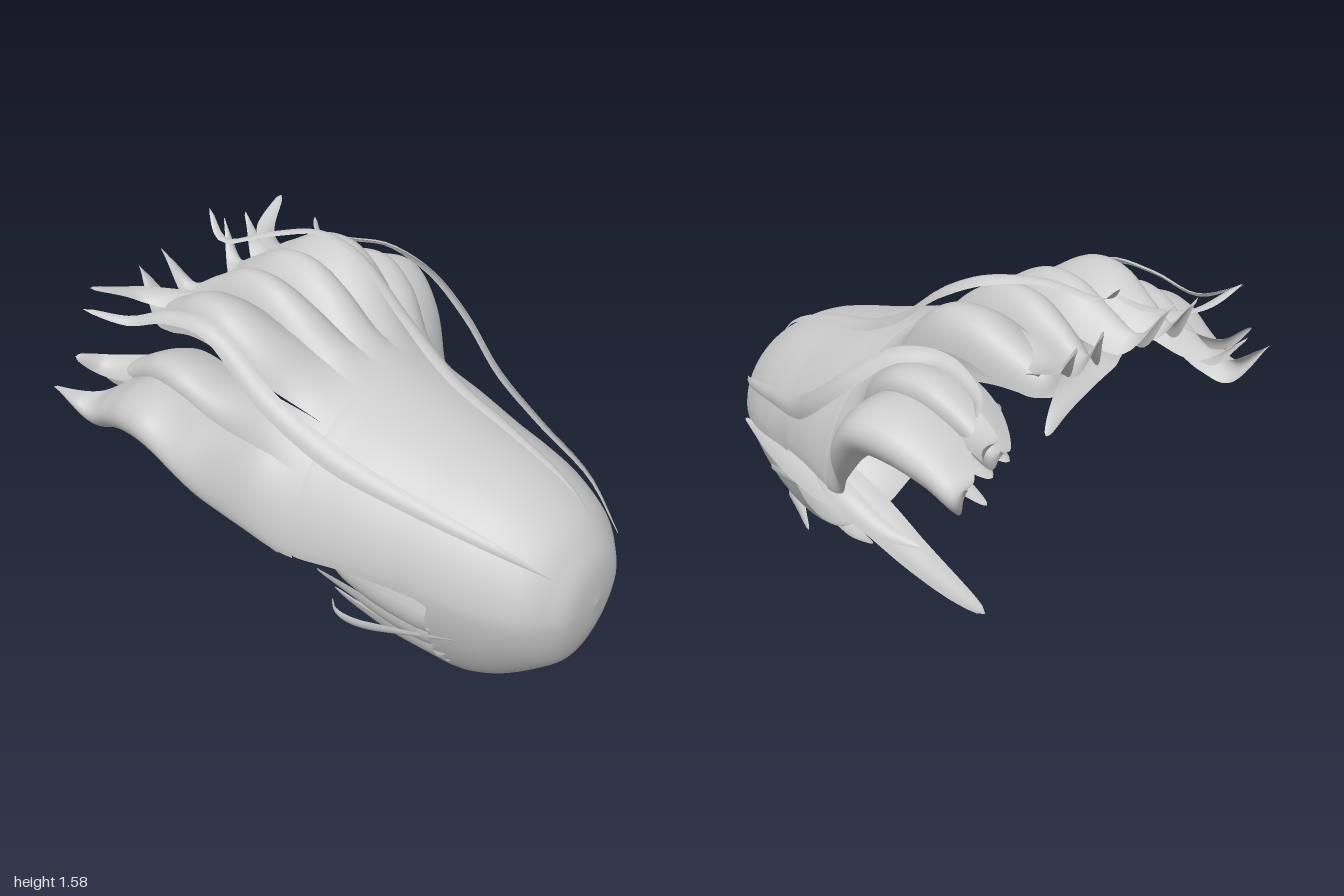
import * as THREE from 'three';

const V = (x, y, z) => new THREE.Vector3(x, y, z);
const material = new THREE.MeshStandardMaterial({ color: 0xcccccc, side: THREE.DoubleSide });
const { smoothstep, lerp } = THREE.MathUtils;

// Grid surface from a rule f(s, t) -> Vector3, with s across and t along
function sheet(name, f, cols, rows) {
  const pos = [], idx = [];
  for (let j = 0; j <= rows; j++)
    for (let i = 0; i <= cols; i++) pos.push(...f(i / cols, j / rows).toArray());
  for (let j = 0; j < rows; j++)
    for (let i = 0; i < cols; i++) {
      const a = j * (cols + 1) + i, b = a + cols + 1;
      idx.push(a, a + 1, b, a + 1, b + 1, b);
    }
  const g = new THREE.BufferGeometry();
  g.setAttribute('position', new THREE.Float32BufferAttribute(pos, 3));
  g.setIndex(idx);
  g.computeVertexNormals();
  const mesh = new THREE.Mesh(g, material);
  mesh.name = name;
  return mesh;
}

// Cross-sections front to back: z, half width, top y, middle y, bottom y
const stations = [
  [1.0, 0.001, 0.551, 0.55, 0.549], [0.98, 0.16, 0.70, 0.55, 0.40], [0.93, 0.25, 0.80, 0.56, 0.27],
  [0.85, 0.33, 0.89, 0.57, 0.19], [0.70, 0.40, 0.98, 0.59, 0.08], [0.55, 0.44, 1.03, 0.61, 0.02],
  [0.40, 0.47, 1.07, 0.63, 0.04], [0.20, 0.52, 1.13, 0.65, 0.10], [0.00, 0.57, 1.19, 0.65, 0.2],
  [-0.15, 0.64, 1.27, 0.72, 0.3], [-0.30, 0.77, 1.38, 0.90, 0.5], [-0.45, 0.82, 1.45, 1.06, 0.7],
  [-0.60, 0.80, 1.45, 1.07, 0.7], [-0.75, 0.76, 1.38, 1.01, 0.7], [-0.88, 0.76, 1.33, 0.95, 0.7],
  [-0.98, 0.82, 1.44, 1.04, 0.8],
];
const LAST = stations.length - 1, SPLIT = 8;
const curveA = new THREE.CatmullRomCurve3(stations.map(s => V(s[0], s[1], s[2])), false, 'catmullrom');
const curveB = new THREE.CatmullRomCurve3(stations.map(s => V(s[0], s[3], s[4])), false, 'catmullrom');

// Point on the swept-back body at station k, angle a from the top, pushed out by d
function bodyPoint(k, a, d = 0) {
  const A = curveA.getPoint(k / LAST), B = curveB.getPoint(k / LAST);
  const c = Math.cos(a);
  const h = c > 0 ? A.z - B.y : B.y - B.z;
  const narrow = 1 - 0.15 * Math.max(0, -c);
  return V((A.y + d) * narrow * Math.sin(a), B.y + (h + d) * c, A.x);
}

// Closed round front, opening underneath; the last rows tuck below the locks
function cap() {
  return sheet('cap', (s, t) => {
    const k = t * (SPLIT + 0.3);
    const z = curveA.getPoint(k / LAST).x;
    const reach = lerp(1.6, Math.PI, smoothstep(z, 0.37, 0.53));
    return bodyPoint(k, (s * 2 - 1) * reach, -0.012 * smoothstep(k, SPLIT - 0.1, SPLIT + 0.2));
  }, 64, 72);
}

// Wide lock continuing the cap: bulges, narrows and flicks up to a point
function lock(name, side, a0, a1, tip, lift, drop) {
  return sheet(name, (s, t) => {
    const k = lerp(SPLIT, LAST, t);
    const grow = smoothstep(t, 0, 0.45);
    const taper = 1 - Math.pow(smoothstep(t, 0.5, 1.15) / smoothstep(1, 0.5, 1.15), 1.5);
    const mid = lerp(0.5, tip, 1 - taper);
    const u = mid + (s - 0.5) * taper * (1 + 0.16 * grow);
    const a = lerp(a0, a1, u);
    const d = grow * (Math.sin(Math.PI * s) * 0.12 - 0.085) * Math.max(taper, 0.15);
    const p = bodyPoint(k, a * side, d);
    p.y += lift * smoothstep(t, 0.8, 1) - drop * grow;
    return p;
  }, 14, 44);
}

// Thin tapered strand along a path, arched across its width; facing can be set
function strand(name, points, width, { side = 1, root = 0.05, facing = null } = {}) {
  const path = new THREE.CatmullRomCurve3(points.map(p => V(p[0] * side, p[1], p[2])));
  return sheet(name, (s, t) => {
    const p = path.getPoint(t);
    const tan = path.getTangent(t);
    const out = facing ? V(...facing).normalize() : V(p.x, p.y - 0.65, 0.0001).normalize();
    const across = out.cross(tan).normalize();
    const up = tan.clone().cross(across);
    const w = width * Math.min(1, root + t * 2.5) * Math.pow(1 - t, 0.5);
    const q = s * 2 - 1;
    return p.addScaledVector(across, -q * w * 0.5).addScaledVector(up, (1 - q * q) * w * 0.16 + 0.004);
  }, 6, 40);
}

export function createModel() {
  const model = new THREE.Group();
  model.name = 'sweptHair';
  model.add(cap());

  // Four wide locks on each side: inner angle, outer angle, tip position, tip lift, drop
  const locks = [[0, 15, 0.85, 0.05, 0.01], [15, 35, 0.35, 0.03, -0.01], [35, 56, 0.75, -0.02, 0.07], [56, 93, 0.5, 0.0, 0.02]];
  const rad = Math.PI / 180;
  for (const side of [1, -1]) {
    locks.forEach(([a0, a1, tip, lift, drop], i) =>
      model.add(lock(`wideLock${i + 1}`, side, a0 * rad, a1 * rad, tip, lift, drop)));
    // Curls among the tips
    model.add(strand('tipCurl', [[0.33, 1.42, -0.55], [0.28, 1.35, -0.75], [0.36, 1.36, -0.92], [0.55, 1.44, -0.995]], 0.14, { side, root: 0.5 }));
    model.add(strand('tipCurl', [[0.56, 1.24, -0.5], [0.55, 1.18, -0.72], [0.6, 1.16, -0.9], [0.69, 1.22, -0.96]], 0.15, { side, root: 0.5 }));
  }

  // Long strands lying over the top
  model.add(strand('topStrand', [[0.09, 0.80, 0.92], [0.10, 0.93, 0.78], [0.13, 1.04, 0.5], [0.18, 1.12, 0.2],
    [0.25, 1.27, -0.1], [0.28, 1.45, -0.35], [0.23, 1.52, -0.5], [0.10, 1.52, -0.65], [0.01, 1.48, -0.82], [0.06, 1.57, -0.94]], 0.12));
  model.add(strand('leftOverStrand', [[-0.21, 0.76, 0.91], [-0.31, 0.87, 0.72], [-0.38, 0.96, 0.4], [-0.43, 1.05, 0.1],
    [-0.46, 1.21, -0.2], [-0.46, 1.40, -0.45], [-0.48, 1.40, -0.65], [-0.53, 1.35, -0.82], [-0.63, 1.4, -0.95]], 0.12));
  model.add(strand('outerStrand', [[0.26, 0.68, 0.92], [0.40, 0.77, 0.7], [0.50, 0.85, 0.4], [0.60, 0.94, 0.12],
    [0.70, 1.08, -0.12], [0.70, 1.22, -0.3], [0.60, 1.34, -0.45], [0.53, 1.35, -0.6], [0.57, 1.31, -0.8], [0.68, 1.31, -0.92]], 0.12));

  // Lock hanging down behind the +x side, with a split end
  const facing = [0.6, 0.7, -0.4];
  model.add(strand('hangingLock', [[0.37, 0.55, 0.8], [0.44, 0.57, 0.5], [0.47, 0.58, 0.25], [0.45, 0.56, 0.05], [0.40, 0.47, -0.1],
    [0.35, 0.36, -0.24], [0.28, 0.24, -0.38], [0.21, 0.14, -0.5]], 0.24, { facing }));
  model.add(strand('hangingLockSplit', [[0.47, 0.60, 0.2], [0.49, 0.57, 0], [0.45, 0.48, -0.18], [0.39, 0.44, -0.33]], 0.12, { facing, root: 0.3 }));

  // Wisps on the -x side
  model.add(strand('sideWisp', [[-0.39, 0.45, 0.65], [-0.48, 0.45, 0.45], [-0.56, 0.47, 0.29], [-0.57, 0.49, 0.22], [-0.53, 0.50, 0.17]], 0.09));
  model.add(strand('sideFall', [[-0.70, 0.98, -0.32], [-0.62, 0.82, -0.23], [-0.55, 0.67, -0.17], [-0.48, 0.53, -0.15]], 0.18, { root: 0.6 }));
  for (const [x, y, z, w] of [[0.45, 0.54, 0.05, 0.2], [0.42, 0.44, -0.06, 0.18], [0.38, 0.35, 0.0, 0.18], [0.31, 0.26, -0.04, 0.13]])
    model.add(strand('innerWisp', [[-x, y, 0.56], [-x, y, 0.35], [-x + 0.03, y - 0.01, 0.15], [-x + 0.06, y - 0.02, z]], w, { root: 0.8 }));

  // Small spikes along the lower rim
  model.add(strand('rimSpike', [[0.42, 0.44, 0.55], [0.40, 0.42, 0.40], [0.36, 0.40, 0.27]], 0.1, { root: 0.5 }));
  model.add(strand('rimSpike', [[0.25, 0.22, 0.65], [0.29, 0.19, 0.55], [0.32, 0.13, 0.46]], 0.09, { root: 0.5 }));
  model.add(strand('lowerCurl', [[0.0, 0.07, 0.74], [0.03, 0.02, 0.6], [0.07, 0.01, 0.45], [0.12, 0.06, 0.28]], 0.13));
  return model;
}
